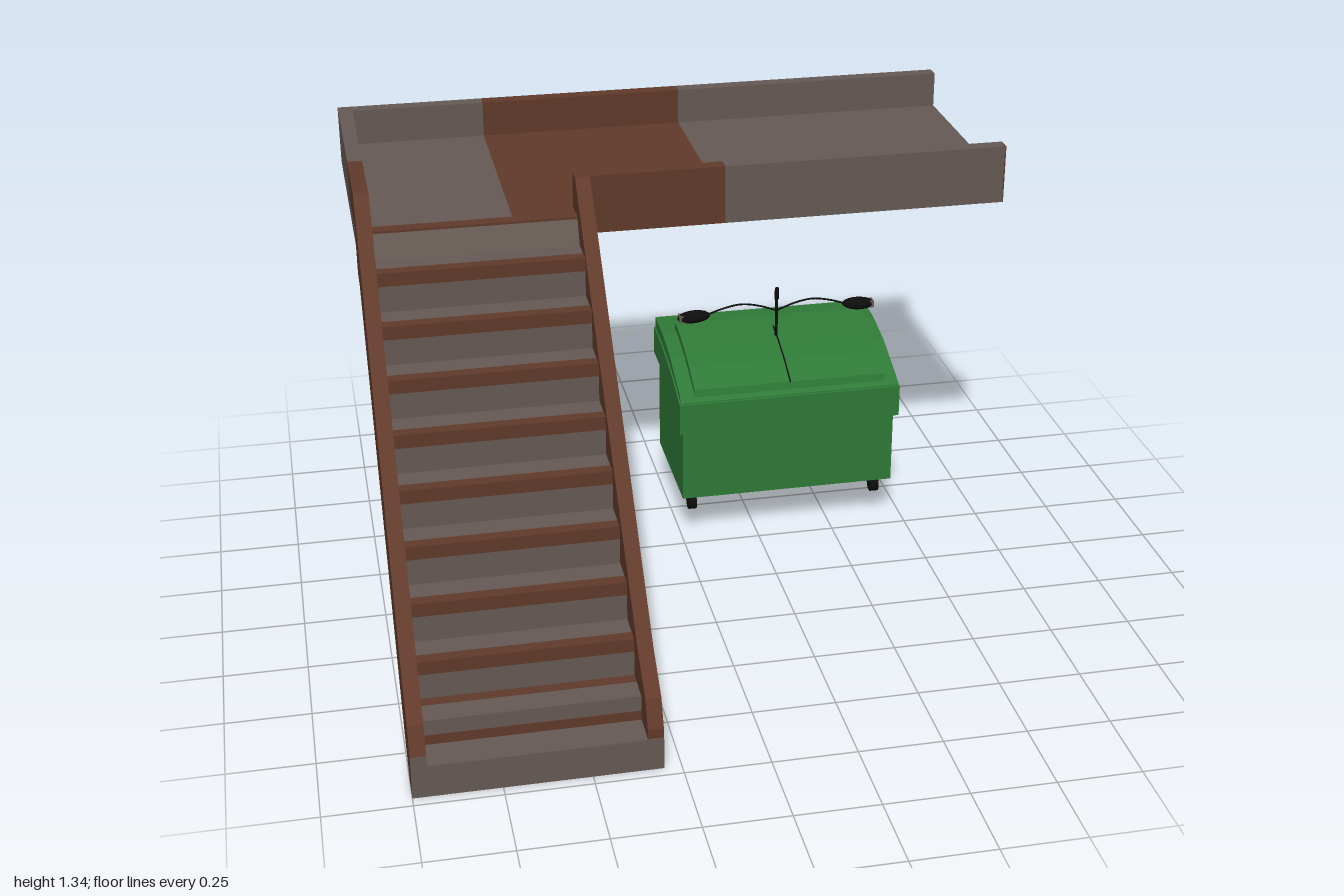
import * as THREE from 'three';

export function createModel() {
  const root = new THREE.Group();
  const make = (name, color) => {
    const m = new THREE.MeshStandardMaterial({ color });
    m.name = name;
    return m;
  };
  const concrete = make('concrete grey', 0x665a54);
  const rust = make('rust brown', 0x613a2b);
  const green = make('bin green', 0x2f7937);
  const black = make('black', 0x0d0d0d);

  const add = (parent, name, geo, mat, x = 0, y = 0, z = 0) => {
    const mesh = new THREE.Mesh(geo, mat);
    mesh.name = name;
    mesh.position.set(x, y, z);
    parent.add(mesh);
    return mesh;
  };
  // Box given by its limits on each axis
  const box = (parent, name, mat, x0, x1, y0, y1, z0, z1) =>
    add(parent, name, new THREE.BoxGeometry(x1 - x0, y1 - y0, z1 - z0), mat,
      (x0 + x1) / 2, (y0 + y1) / 2, (z0 + z1) / 2);
  // Side profile of [z, y] points extruded from x0 to x1
  const profile = (parent, name, mat, pts, x0, x1) => {
    const shape = new THREE.Shape(pts.map(([z, y]) => new THREE.Vector2(-z, y)));
    const geo = new THREE.ExtrudeGeometry(shape, { depth: x1 - x0, bevelEnabled: false });
    geo.rotateY(Math.PI / 2);
    return add(parent, name, geo, mat, x0);
  };
  const group = (name) => {
    const g = new THREE.Group();
    g.name = name;
    root.add(g);
    return g;
  };

  // Walkway: slab and parapets, with a rusty band across it
  const walkway = group('walkway');
  for (const [mat, x0, x1] of [[concrete, -1, -0.535], [rust, -0.535, 0.115], [concrete, 0.115, 1]]) {
    box(walkway, 'slab', mat, x0, x1, 1.15, 1.22, -0.97, -0.18);
    box(walkway, 'backParapet', mat, x0, x1, 1.22, 1.333, -0.97, -0.925);
    if (x1 > 0) box(walkway, 'frontParapet', mat, Math.max(x0, -0.345), x1, 1.22, 1.333, -0.225, -0.18);
  }
  box(walkway, 'endParapet', concrete, -1, -0.955, 1.22, 1.333, -0.925, -0.45);
  box(walkway, 'rustyEndParapet', rust, -1, -0.955, 1.22, 1.333, -0.45, -0.18);
  box(walkway, 'rustySlabEnd', rust, 0.998, 1.002, 1.15, 1.22, -0.45, -0.18);
  box(walkway, 'rustyParapetEnd', rust, 0.998, 1.002, 1.22, 1.333, -0.225, -0.18);

  // Staircase: two stringers around a solid stepped core
  const stairs = group('staircase');
  const stringer = [[0.965, 0], [0.88, 0], [0.765, 0.075], [-0.15, 1.05], [-0.22, 1.06], [-0.22, 1.15],
    [-0.18, 1.15], [-0.18, 1.335], [-0.17, 1.335], [0.815, 0.3], [0.93, 0.21], [0.965, 0.13]];
  profile(stairs, 'rightStringer', rust, stringer, -1, -0.955);
  profile(stairs, 'leftStringer', rust, stringer, -0.345, -0.3);

  const run = 0.109, rise = 0.1207, steps = 8;
  const core = [[0.965, 0], [0.88, 0], [0.765, 0.105], [-0.15, 1.08], [-0.22, 1.09], [-0.22, 1.15],
    [-0.18, 1.15], [-0.18, 1.22], [-0.14, 1.22], [-0.105, 1.143]];
  for (let i = steps - 1; i >= 0; i--) {
    const z = 0.758 - i * run, y = 0.298 + i * rise;
    core.push([z, y], [z, y - rise]);
    box(stairs, 'stepNosing', rust, -0.955, -0.345, y - 0.04, y + 0.002, z - 0.035, z + 0.002);
  }
  core.push([0.865, 0.177], [0.865, 0.1], [0.965, 0.1]);
  profile(stairs, 'steps', concrete, core, -0.955, -0.345);
  profile(stairs, 'soffit', rust, [[0.88, 0], [0.765, 0.075], [-0.15, 1.05], [-0.22, 1.06],
    [-0.22, 1.09], [-0.15, 1.08], [0.765, 0.105]], -0.955, -0.345);
  box(stairs, 'topNosing', rust, -0.955, -0.345, 1.2, 1.223, -0.178, -0.138);
  box(stairs, 'lowTreadStrip', rust, -0.955, -0.345, 0.175, 0.179, 0.758, 0.79);
  box(stairs, 'lowRiserStrip', rust, -0.955, -0.345, 0.1, 0.13, 0.864, 0.867);
  box(stairs, 'baseFront', concrete, -1, -0.3, 0, 0.1, 0.963, 0.968);
  box(stairs, 'rightBaseFront', concrete, -1, -0.955, 0.1, 0.13, 0.963, 0.968);
  box(stairs, 'baseUnderside', concrete, -1, -0.3, -0.001, 0.002, 0.88, 0.965);

  // Waste bin: body, overhanging rim and curved lid
  const bin = group('wasteBin');
  profile(bin, 'binBody', green, [[-0.28, 0.15], [-0.28, 0.46], [-0.48, 0.52], [-0.69, 0.52], [-0.69, 0.15]], 0, 0.705);
  profile(bin, 'binRim', green, [[-0.265, 0.395], [-0.265, 0.505], [-0.29, 0.525], [-0.45, 0.585], [-0.58, 0.61],
    [-0.71, 0.615], [-0.71, 0.485], [-0.6, 0.483], [-0.485, 0.468], [-0.37, 0.435]], -0.008, 0.713);
  profile(bin, 'binRimBand', green, [[-0.26, 0.395], [-0.26, 0.5], [-0.37, 0.535], [-0.485, 0.56],
    [-0.6, 0.575], [-0.712, 0.58], [-0.712, 0.485], [-0.6, 0.483], [-0.485, 0.468], [-0.37, 0.435]], -0.013, 0.718);
  profile(bin, 'binLid', green, [[-0.275, 0.5], [-0.285, 0.54], [-0.37, 0.58], [-0.46, 0.61], [-0.53, 0.627],
    [-0.6, 0.638], [-0.625, 0.605], [-0.45, 0.56]], 0.04, 0.672);
  profile(bin, 'lidSeam', black, [[-0.284, 0.538], [-0.285, 0.543], [-0.37, 0.583], [-0.46, 0.613],
    [-0.53, 0.63], [-0.53, 0.625], [-0.46, 0.605], [-0.37, 0.575]], 0.354, 0.358);

  // Castors and the centre foot
  for (const x of [0.037, 0.657]) {
    for (const z of [-0.322, -0.648]) {
      const wheel = new THREE.CylinderGeometry(0.028, 0.028, 0.026, 16).rotateZ(Math.PI / 2);
      add(bin, 'castor', wheel, black, x, 0.118, z);
      box(bin, 'castorFork', black, x - 0.013, x + 0.013, 0.118, 0.151, z - 0.015, z + 0.015);
    }
  }
  add(bin, 'centreFoot', new THREE.CylinderGeometry(0.013, 0.025, 0.06, 12), black, 0.355, 0.122, -0.485);

  // Pole with two curved arms, each carrying a lamp
  const lamps = group('lampStand');
  add(lamps, 'pole', new THREE.CylinderGeometry(0.005, 0.005, 0.26, 8), black, 0.355, 0.655, -0.485);
  add(lamps, 'poleTip', new THREE.CylinderGeometry(0.007, 0.007, 0.04, 8), black, 0.355, 0.765, -0.485);
  for (const s of [-1, 1]) {
    const path = [[0, 0.705], [0.06, 0.727], [0.12, 0.737], [0.18, 0.727], [0.24, 0.707]]
      .map(([d, y]) => new THREE.Vector3(0.355 + s * d, y, -0.485));
    add(lamps, 'lampArm', new THREE.TubeGeometry(new THREE.CatmullRomCurve3(path), 20, 0.003, 6), black);
    const head = new THREE.SphereGeometry(1, 16, 10).scale(0.055, 0.02, 0.026);
    add(lamps, 'lampHead', head, black, 0.355 + s * 0.277, 0.707, -0.485).rotation.z = -s * 0.05;
    const x = 0.355 + s * 0.315;
    box(lamps, 'lampEnd', concrete, x - 0.012, x + 0.012, 0.694, 0.716, -0.5, -0.47);
  }

  return root;
}
